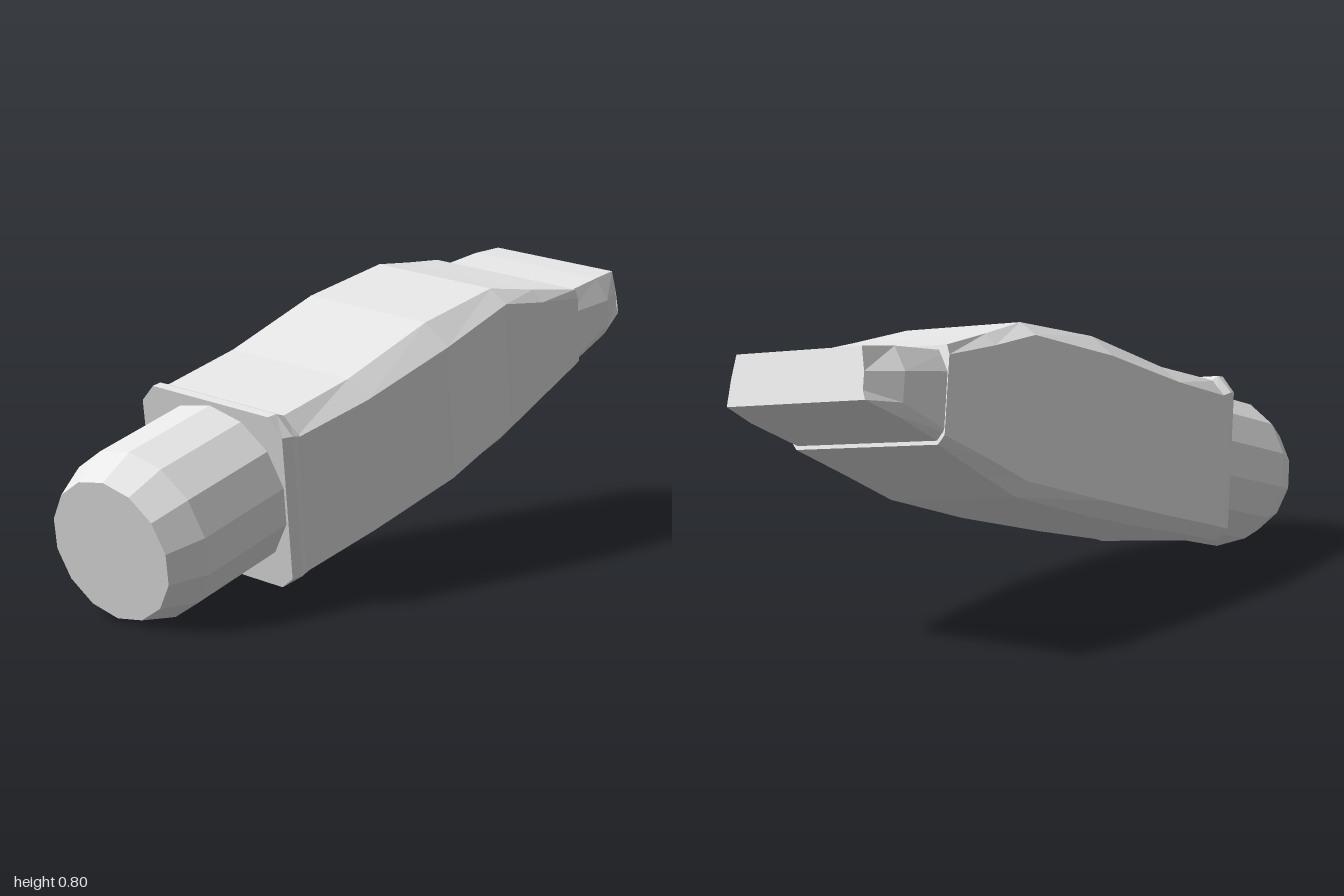
import * as THREE from 'three';

// Joins closed rings of equal length, ordered front to back, and caps both ends.
// Ring points run counter-clockwise seen from the front.
function loft(rings) {
  const pos = [];
  const tri = (a, b, c) => pos.push(...a, ...b, ...c);
  const n = rings[0].length;
  for (let r = 0; r < rings.length - 1; r++) {
    for (let i = 0; i < n; i++) {
      const j = (i + 1) % n;
      const [f, b] = [rings[r], rings[r + 1]];
      tri(f[i], b[i], b[j]);
      tri(f[i], b[j], f[j]);
    }
  }
  const first = rings[0], last = rings[rings.length - 1];
  for (let i = 1; i < n - 1; i++) {
    tri(first[0], first[i], first[i + 1]);
    tri(last[0], last[i + 1], last[i]);
  }
  const g = new THREE.BufferGeometry();
  g.setAttribute('position', new THREE.Float32BufferAttribute(pos, 3));
  g.computeVertexNormals();
  return g;
}

// Chamfered box section: station, half widths of top, side and base,
// then heights of top, upper chamfer, lower chamfer and base.
const boxRing = ([s, wt, ws, wb, top, up, low, base]) => [
  [wb, base, s], [ws, low, s], [ws, up, s], [wt, top, s],
  [-wt, top, s], [-ws, up, s], [-ws, low, s], [-wb, base, s],
];

const SIDES = 14;
const roundRing = ([s, radius]) => Array.from({ length: SIDES }, (_, i) => {
  const t = ((i + 0.5) / SIDES) * Math.PI * 2;
  return [radius * Math.cos(t), 0.058 + radius * Math.sin(t), s];
});

export function createModel() {
  const grey = new THREE.MeshStandardMaterial({ color: 0xe7e7e7 });
  grey.name = 'light grey';

  const model = new THREE.Group();
  model.name = 'taperedHandle';
  const add = (name, rings) => {
    const mesh = new THREE.Mesh(loft(rings), grey);
    mesh.name = name;
    model.add(mesh);
  };

  // Round nose with a bevelled front
  add('roundNose', [[0.98, 0.184], [0.88, 0.223], [0.53, 0.224]].map(roundRing));

  // Thin rim around the front of the body, fading into it
  add('frontRim', [
    [0.58, 0.185, 0.225, 0.19, 0.293, 0.245, -0.145, -0.178],
    [0.55, 0.188, 0.234, 0.19, 0.29, 0.24, -0.147, -0.181],
    [0.50, 0.185, 0.228, 0.19, 0.262, 0.22, -0.145, -0.176],
  ].map(boxRing));

  // Long chamfered body, sloping down to the tail
  add('body', [
    [0.54, 0.186, 0.23, 0.19, 0.274, 0.227, -0.145, -0.178],
    [0.26, 0.188, 0.248, 0.20, 0.27, 0.225, -0.145, -0.182],
    [-0.08, 0.19, 0.26, 0.21, 0.299, 0.243, -0.14, -0.18],
    [-0.39, 0.187, 0.238, 0.205, 0.283, 0.247, -0.125, -0.165],
    [-0.56, 0.213, 0.245, 0.213, 0.224, 0.192, -0.09, -0.123],
    [-0.74, 0.238, 0.247, 0.228, 0.165, 0.14, -0.055, -0.078],
  ].map(boxRing));

  // Slightly inset flat tail with bevelled rear corners
  add('tail', [
    [-0.70, 0.215, 0.244, 0.222, 0.157, 0.105, -0.05, -0.077],
    [-0.90, 0.21, 0.247, 0.235, 0.137, 0.075, 0.0, -0.033],
    [-1.005, 0.2, 0.212, 0.22, 0.12, 0.06, 0.015, -0.008],
  ].map(boxRing));

  // Tilt the whole handle: nose down and to the left, slightly rolled
  const forward = new THREE.Vector3(0.17, -0.28, 1).normalize();
  const up = new THREE.Vector3(0.179, 0.955, 0.237);
  const across = new THREE.Vector3().crossVectors(up, forward).normalize();
  up.crossVectors(forward, across);
  model.quaternion.setFromRotationMatrix(new THREE.Matrix4().makeBasis(across, up, forward));

  // Rest on the ground, centred
  model.updateMatrixWorld(true);
  const box = new THREE.Box3().setFromObject(model, true);
  const c = box.getCenter(new THREE.Vector3());
  model.position.set(-c.x, -box.min.y, -c.z);

  const group = new THREE.Group();
  group.add(model);
  return group;
}
